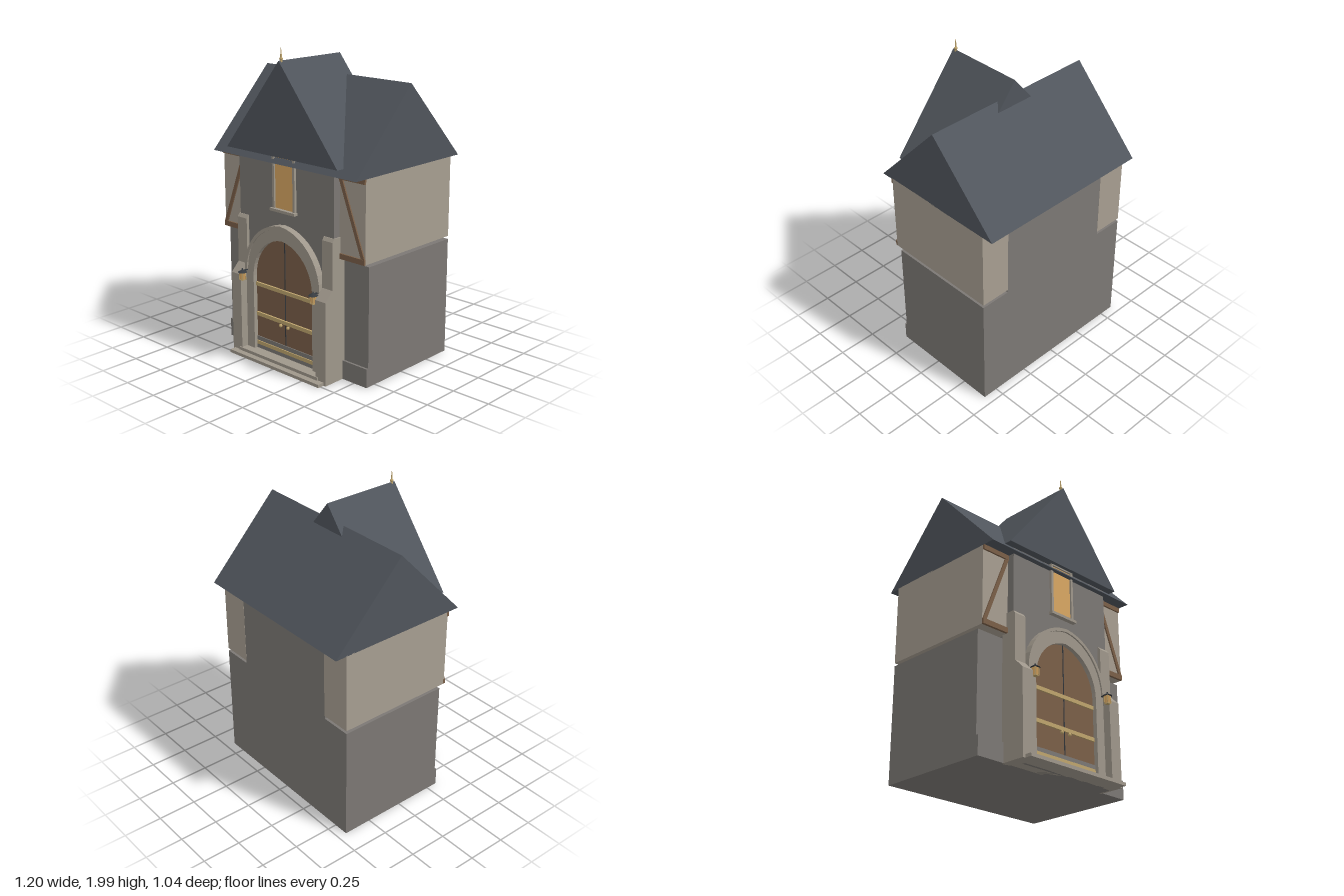
import * as THREE from 'three';

const mat = (name, color, side = THREE.FrontSide) => {
  const m = new THREE.MeshStandardMaterial({ color, side });
  m.name = name;
  return m;
};

export function createModel() {
  const stone = mat('stone', 0x7c7874);
  const trim = mat('pale stone', 0x9f978b);
  const plaster = mat('plaster', 0xa79e91);
  const slate = mat('slate', 0x50555c);
  const wood = mat('wood', 0x7a5f48);
  const brass = mat('brass', 0xbfa56e);
  const glass = mat('warm glass', 0xd8a763);
  const iron = mat('iron', 0x373b40);

  const root = new THREE.Group();
  root.name = 'gatehouse';

  const add = (name, geo, material, parent = root) => {
    const m = new THREE.Mesh(geo, material);
    m.name = name;
    parent.add(m);
    return m;
  };
  // Box given by its limits on each axis
  const box = (name, material, [x0, x1], [y0, y1], [z0, z1], parent = root) =>
    add(name, new THREE.BoxGeometry(x1 - x0, y1 - y0, z1 - z0)
      .translate((x0 + x1) / 2, (y0 + y1) / 2, (z0 + z1) / 2), material, parent);
  const polygon = (pts) => new THREE.Shape(pts.map(([x, y]) => new THREE.Vector2(x, y)));
  const extrude = (shape, depth) =>
    new THREE.ExtrudeGeometry(shape, { depth, bevelEnabled: false, curveSegments: 10 });
  // Side profile in (z, y), extruded across x from x0 to x1
  const sideProfile = (pts, x0, x1) =>
    extrude(polygon(pts), x1 - x0).rotateY(-Math.PI / 2).translate(x1, 0, 0);

  // Pointed arch outline: half width, spring height, apex height, foot height
  const archPoints = (w, spring, apex, foot, n = 10) => {
    const rise = apex - spring;
    const c = (rise * rise - w * w) / (2 * w);
    const end = Math.atan2(rise, c);
    const half = [[w, foot]];
    for (let i = 0; i <= n; i++) {
      const a = (end * i) / n;
      half.push([(w + c) * Math.cos(a) - c, spring + (w + c) * Math.sin(a)]);
    }
    half[n + 1][0] = 0;
    return [...half, ...half.slice(0, -1).reverse().map(([x, y]) => [-x, y])];
  };
  // Band between two arches, open at the foot
  const archBand = (outer, inner, depth) => extrude(polygon([...outer, ...inner.slice().reverse()]), depth);

  // Stone masses
  box('groundFloor', stone, [-0.6, 0.6], [0, 0.755], [-0.44, 0.31]);
  box('plinth', stone, [-0.6, 0.6], [0, 0.12], [0.3, 0.325]);
  box('centralBay', stone, [-0.4, 0.4], [0, 1.325], [-0.44, 0.395]);
  box('bayPlinth', stone, [-0.33, 0.33], [0, 0.12], [0.39, 0.408]);

  // Roofs
  add('mainRoof', sideProfile([[0.43, 1.285], [-0.045, 1.785], [-0.518, 1.285]], -0.6, 0.6), slate);
  add('crossRoof', extrude(polygon([[-0.465, 1.33], [0.465, 1.33], [0, 1.905]]), 0.525)
    .translate(0, 0, -0.088), slate);

  // Finial on the front ridge end
  const finial = new THREE.Group();
  finial.name = 'finial';
  finial.position.set(0, 1.89, 0.415);
  root.add(finial);
  add('finialSpike', new THREE.ConeGeometry(0.009, 0.1, 8).translate(0, 0.05, 0), brass, finial);
  add('finialCollar', new THREE.SphereGeometry(0.011, 8, 6).translate(0, 0.025, 0), brass, finial);

  // Door with its surround
  add('door', extrude(polygon(archPoints(0.26, 0.53, 0.815, 0.04)), 0.01).translate(0, 0, 0.392), wood);
  box('doorGap', iron, [-0.003, 0.003], [0.12, 0.81], [0.4, 0.405]);
  for (const y of [0.08, 0.275, 0.475])
    box('doorStrap', brass, [-0.25, 0.25], [y - 0.012, y + 0.012], [0.4, 0.414]);
  add('archSurround', archBand(archPoints(0.32, 0.55, 0.89, 0.04), archPoints(0.255, 0.53, 0.81, 0.04), 0.04)
    .translate(0, 0, 0.39), trim);
  add('archHood', archBand(archPoints(0.325, 0.56, 0.905, 0.56), archPoints(0.305, 0.56, 0.885, 0.56), 0.05)
    .translate(0, 0, 0.39), trim);
  box('lowerStep', trim, [-0.39, 0.39], [0, 0.02], [0.3, 0.52]);
  box('upperStep', trim, [-0.345, 0.345], [0.02, 0.04], [0.3, 0.482]);

  // Window
  box('windowPane', glass, [-0.08, 0.08], [1.0, 1.328], [0.392, 0.4]);
  box('windowSill', trim, [-0.105, 0.105], [0.985, 1.002], [0.39, 0.425]);
  box('windowLintel', trim, [-0.095, 0.095], [1.322, 1.335], [0.39, 0.412]);

  for (const s of [-1, 1]) {
    const span = (a, b) => (s > 0 ? [a, b] : [-b, -a]);

    // Upper wing with timber framing
    box('upperWing', plaster, span(0.398, 0.6), [0.775, 1.29], [-0.441, 0.345]);
    box('topBeam', wood, span(0.4, 0.6), [1.255, 1.287], [0.34, 0.356]);
    box('bottomBeam', wood, span(0.4, 0.6), [0.775, 0.808], [0.34, 0.356]);
    const brace = [[0.573, 0.808], [0.599, 0.808], [0.427, 1.255], [0.401, 1.255]];
    const bracePts = brace.map(([x, y]) => [s * x, y]);
    add('diagonalBrace', extrude(polygon(bracePts), 0.013).translate(0, 0, 0.341), wood);

    // Stepped buttress
    add('buttress', sideProfile([[0.31, 0], [0.475, 0], [0.475, 0.53], [0.415, 0.59],
      [0.415, 0.885], [0.4, 0.905], [0.31, 0.905]], ...span(0.325, 0.408)), trim);

    // Window jamb and door knob
    box('windowJamb', trim, span(0.078, 0.095), [1.0, 1.33], [0.39, 0.411]);
    add('doorKnob', new THREE.SphereGeometry(0.011, 10, 8).translate(s * 0.032, 0.25, 0.415), brass);

    // Lantern on a bracket
    const lantern = new THREE.Group();
    lantern.name = 'lantern';
    lantern.position.set(s * 0.308, 0.5, 0.475);
    root.add(lantern);
    add('lanternBody', new THREE.CylinderGeometry(0.021, 0.016, 0.05, 4)
      .rotateY(Math.PI / 4).translate(0, 0.028, 0), glass, lantern);
    add('lanternBase', new THREE.CylinderGeometry(0.019, 0.019, 0.006, 4)
      .rotateY(Math.PI / 4).translate(0, 0.003, 0), brass, lantern);
    add('lanternCap', new THREE.ConeGeometry(0.031, 0.02, 8).translate(0, 0.062, 0), iron, lantern);
    add('lanternKnob', new THREE.SphereGeometry(0.005, 6, 5).translate(0, 0.073, 0), iron, lantern);
    box('lanternBracket', iron, [-0.004, 0.004], [0.056, 0.064], [-0.06, 0], lantern);
    for (const [px, pz] of [[1, 1], [1, -1], [-1, 1], [-1, -1]])
      box('lanternPost', brass, [px * 0.014 - 0.002, px * 0.014 + 0.002], [0.003, 0.053],
        [pz * 0.014 - 0.002, pz * 0.014 + 0.002], lantern);
  }

  return root;
}
